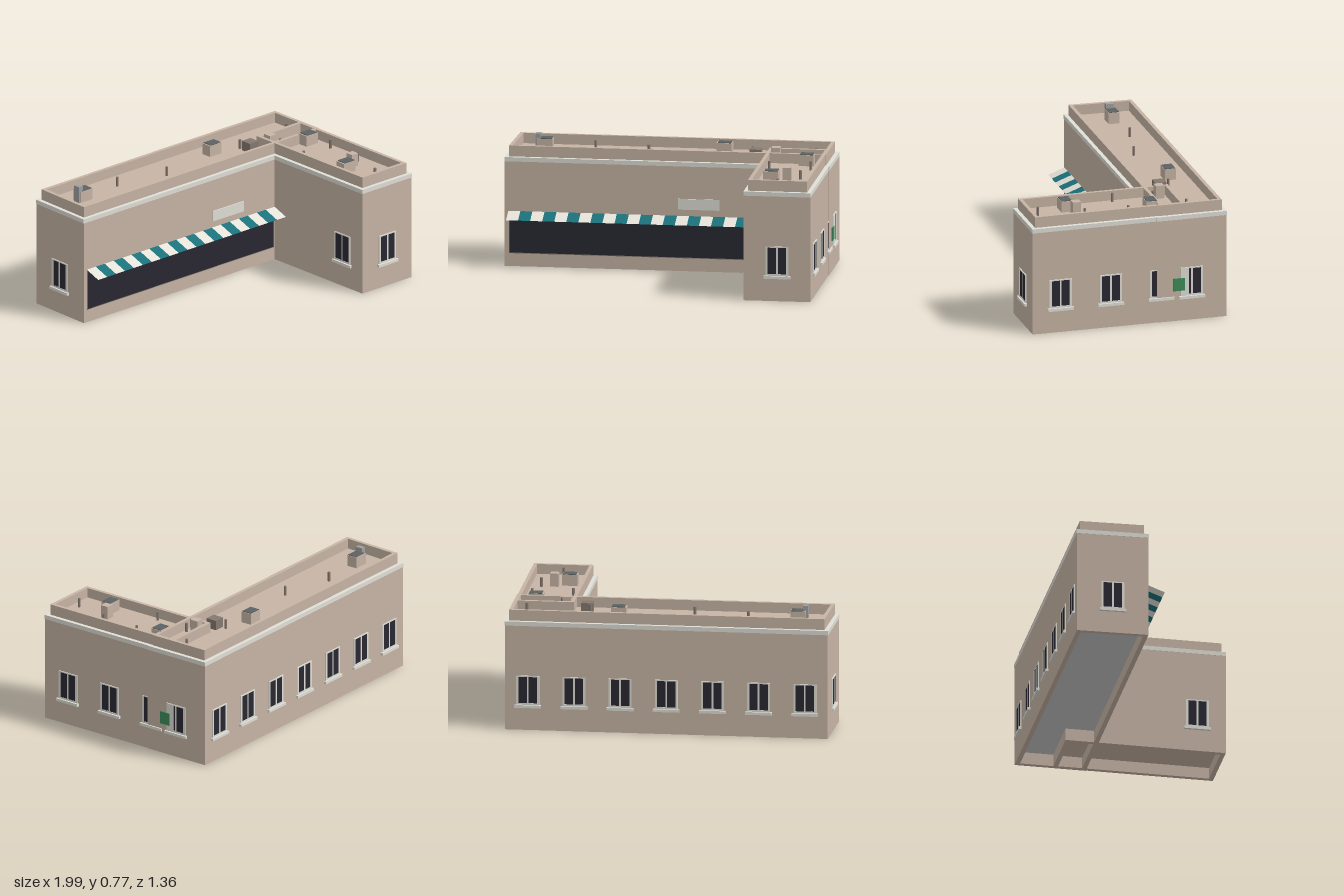
import * as THREE from 'three';

const mat = (name, color) => {
  const m = new THREE.MeshStandardMaterial({ color });
  m.name = name;
  return m;
};

export function createModel() {
  const wall = mat('wall', 0xc7b4a5);
  const trim = mat('trim', 0xe0dfd7);
  const glass = mat('glass', 0x292832);
  const teal = mat('awningTeal', 0x1c727c);
  const pale = mat('awningWhite', 0xe6e4da);
  teal.side = pale.side = THREE.DoubleSide;
  const slate = mat('unitTop', 0x5c6364);
  const grey = mat('ductGrey', 0xa0a0a0);
  const floor = mat('floorGrey', 0xc8c8c8);
  const dark = mat('ventBrown', 0x857970);
  const green = mat('signGreen', 0x3f8c5c);

  const model = new THREE.Group();
  const TILT = -0.0747;
  const building = new THREE.Group();
  building.name = 'building';
  building.rotation.y = TILT;
  model.add(building);

  const add = (parent, name, geo, material, x = 0, y = 0, z = 0) => {
    const m = new THREE.Mesh(geo, material);
    m.name = name;
    m.position.set(x, y, z);
    parent.add(m);
    return m;
  };
  const box = (parent, name, w, h, d, material, x, y, z) =>
    add(parent, name, new THREE.BoxGeometry(w, h, d), material, x, y, z);

  // Footprints: back left, back right, front right, front left (x, z)
  const mainPlan = [[-0.998, -0.604], [0.946, -0.604], [0.946, -0.168], [-1.012, -0.168]];
  const wingPlan = [[0.537, -0.374], [0.942, -0.374], [0.942, 0.604], [0.537, 0.604]];
  const sx = [1, -1, -1, 1], sz = [1, 1, -1, -1];
  const inset = (plan, d) => plan.map(([x, z], i) => new THREE.Vector2(x + sx[i] * d, -(z + sz[i] * d)));

  // Slab or ring between two heights; the hole runs the opposite way round
  const slab = (name, plan, outer, inner, y0, y1, material) => {
    const shape = new THREE.Shape(inset(plan, outer));
    if (inner !== null) shape.holes.push(new THREE.Path(inset(plan, inner).reverse()));
    const geo = new THREE.ExtrudeGeometry(shape, { depth: y1 - y0, bevelEnabled: false });
    geo.rotateX(-Math.PI / 2);
    return add(building, name, geo, material, 0, y0, 0);
  };

  const block = (name, plan, floorY, roofY, floorMat) => {
    slab(name + 'Walls', plan, 0.002, 0.03, 0, 0.66, wall);
    slab(name + 'Cornice', plan, 0, 0.035, 0.638, 0.664, trim);
    slab(name + 'Parapet', plan, 0.024, 0.046, 0.65, 0.73, wall);
    slab(name + 'Roof', plan, 0.03, null, roofY - 0.02, roofY, wall);
    slab(name + 'Floor', plan, 0.01, null, floorY, floorY + 0.01, floorMat);
  };
  block('main', mainPlan, 0.075, 0.668, floor);
  block('wing', wingPlan, 0.07, 0.67, wall);

  // Double window: set-back panes, raised frame bars and a sill, facing +z before turning
  const windowUnit = (x, z, turn) => {
    const g = new THREE.Group();
    g.name = 'window';
    g.position.set(x, 0, z);
    g.rotation.y = turn;
    box(g, 'windowPanes', 0.13, 0.17, 0.006, glass, 0, 0.244, -0.0005);
    for (const [bx, bw] of [[-0.0625, 0.013], [0, 0.011], [0.0625, 0.013]]) {
      box(g, 'windowUpright', bw, 0.178, 0.008, trim, bx, 0.244, 0);
    }
    box(g, 'windowHead', 0.138, 0.007, 0.008, trim, 0, 0.3295, 0);
    box(g, 'windowFoot', 0.138, 0.011, 0.008, trim, 0, 0.1605, 0);
    box(g, 'windowSill', 0.16, 0.017, 0.022, trim, 0, 0.146, 0.003);
    building.add(g);
  };
  const R = Math.PI / 2;
  for (let i = 0; i < 7; i++) windowUnit(-0.859 + i * 0.2776, -0.604, Math.PI);
  for (const z of [0.429, 0.116]) windowUnit(0.942, z, R);
  windowUnit(0.9385, -0.197, R);
  windowUnit(0.537, 0.429, -R);
  windowUnit(0.946, -0.386, R);
  windowUnit(-1.005, -0.386, -R - 0.032);
  windowUnit(0.74, 0.604, 0);

  // Storefront: slim frame and glazing
  box(building, 'storefrontFrame', 1.517, 0.256, 0.006, dark, -0.226, 0.207, -0.1695);
  box(building, 'storefrontGlass', 1.507, 0.248, 0.006, glass, -0.226, 0.208, -0.168);

  // Striped awning with sloping sheets
  const N = 21, x0 = -0.988, x1 = 0.537, w = (x1 - x0) / N;
  const awning = new THREE.Group();
  awning.name = 'awning';
  building.add(awning);
  for (let i = 0; i < N; i++) {
    const geo = new THREE.PlaneGeometry(w, Math.hypot(0.1, 0.037));
    geo.rotateX(-Math.atan2(0.1, 0.037));
    add(awning, 'awningStripe', geo, i % 2 ? teal : pale, x0 + (i + 0.5) * w, 0.3185, -0.117);
  }

  // Blank signs and the pale panel over half of the side window
  box(building, 'frontSign', 0.25, 0.065, 0.008, trim, 0.16, 0.408, -0.167);
  box(building, 'windowPanel', 0.006, 0.165, 0.04, trim, 0.948, 0.246, -0.348);
  box(building, 'sideSign', 0.009, 0.078, 0.072, green, 0.9485, 0.229, -0.305);

  // Rooftop equipment
  const unit = (x, z, size, top, material, name) => {
    const m = box(model, name, size[0], top - 0.66, size[1], material, x, (top + 0.66) / 2, z);
    m.rotation.y = TILT;
  };
  for (const [x, z] of [[-0.765, -0.465], [0.31, -0.415], [0.82, -0.105], [0.64, 0.37]]) {
    unit(x, z, [0.092, 0.068], 0.737, wall, 'coolingUnit');
    const cap = box(model, 'coolingUnitTop', 0.08, 0.005, 0.062, slate, x + 0.002, 0.7385, z);
    cap.rotation.y = TILT;
  }
  unit(-0.808, -0.463, [0.03, 0.046], 0.768, grey, 'exhaustDuct');
  unit(0.505, -0.285, [0.07, 0.07], 0.728, dark, 'ventBox');
  unit(0.628, -0.235, [0.052, 0.052], 0.75, wall, 'roofBox');
  unit(0.733, 0.335, [0.05, 0.05], 0.75, wall, 'roofBox');
  const pipes = [[-0.465, -0.465], [-0.14, -0.365], [0.485, -0.35], [0.865, -0.32], [0.66, -0.185],
    [0.607, 0.056], [0.853, 0.045], [0.81, 0.308], [0.69, 0.56]];
  for (const [x, z] of pipes) {
    add(model, 'ventPipe', new THREE.CylinderGeometry(0.008, 0.008, 0.062, 8), dark, x, 0.695, z);
  }
  return model;
}
